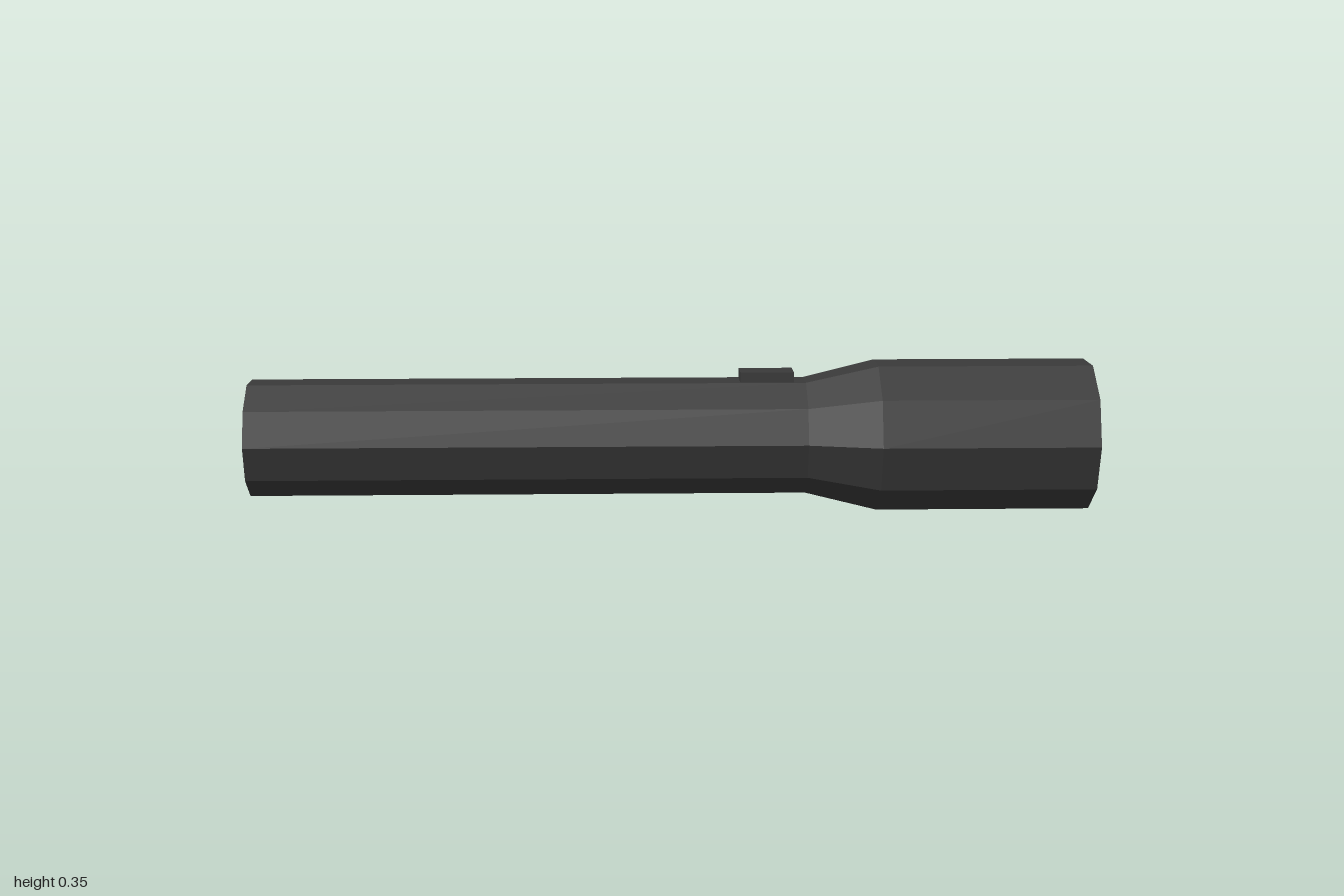
import * as THREE from 'three';

const AXIS_Y = 0.173;
const SIDES = 10;

// Separate the facets so each keeps its own flat normal
function faceted(geometry) {
  const flat = geometry.toNonIndexed();
  flat.computeVertexNormals();
  return flat;
}

export function createModel() {
  const group = new THREE.Group();
  group.name = 'flashlight';

  const black = new THREE.MeshStandardMaterial({ color: 0x3a3a3a });
  black.name = 'black casing';
  const yellow = new THREE.MeshStandardMaterial({ color: 0xd0c426 });
  yellow.name = 'yellow lens';

  function add(name, geometry, material, x, y) {
    const mesh = new THREE.Mesh(geometry, material);
    mesh.name = name;
    mesh.position.set(x, y, 0);
    group.add(mesh);
  }

  // Casing: tail cap, handle, flared head and sloping inner rim
  const profile = [
    [0, -1], [0.14, -1], [0.14, 0.32], [0.182, 0.49], [0.182, 1], [0.148, 0.98],
  ].map(([r, h]) => new THREE.Vector2(r, h));
  const casing = new THREE.LatheGeometry(profile, SIDES);
  casing.rotateZ(-Math.PI / 2);
  add('casing', faceted(casing), black, 0, AXIS_Y);

  // Lens set back inside the rim
  const lens = new THREE.CircleGeometry(0.148, SIDES);
  lens.rotateY(Math.PI / 2);
  add('lens', lens, yellow, 0.98, AXIS_Y);

  // Sliding switch on top of the handle
  add('switch', new THREE.BoxGeometry(0.127, 0.04, 0.07), black, 0.228, 0.31);

  return group;
}
